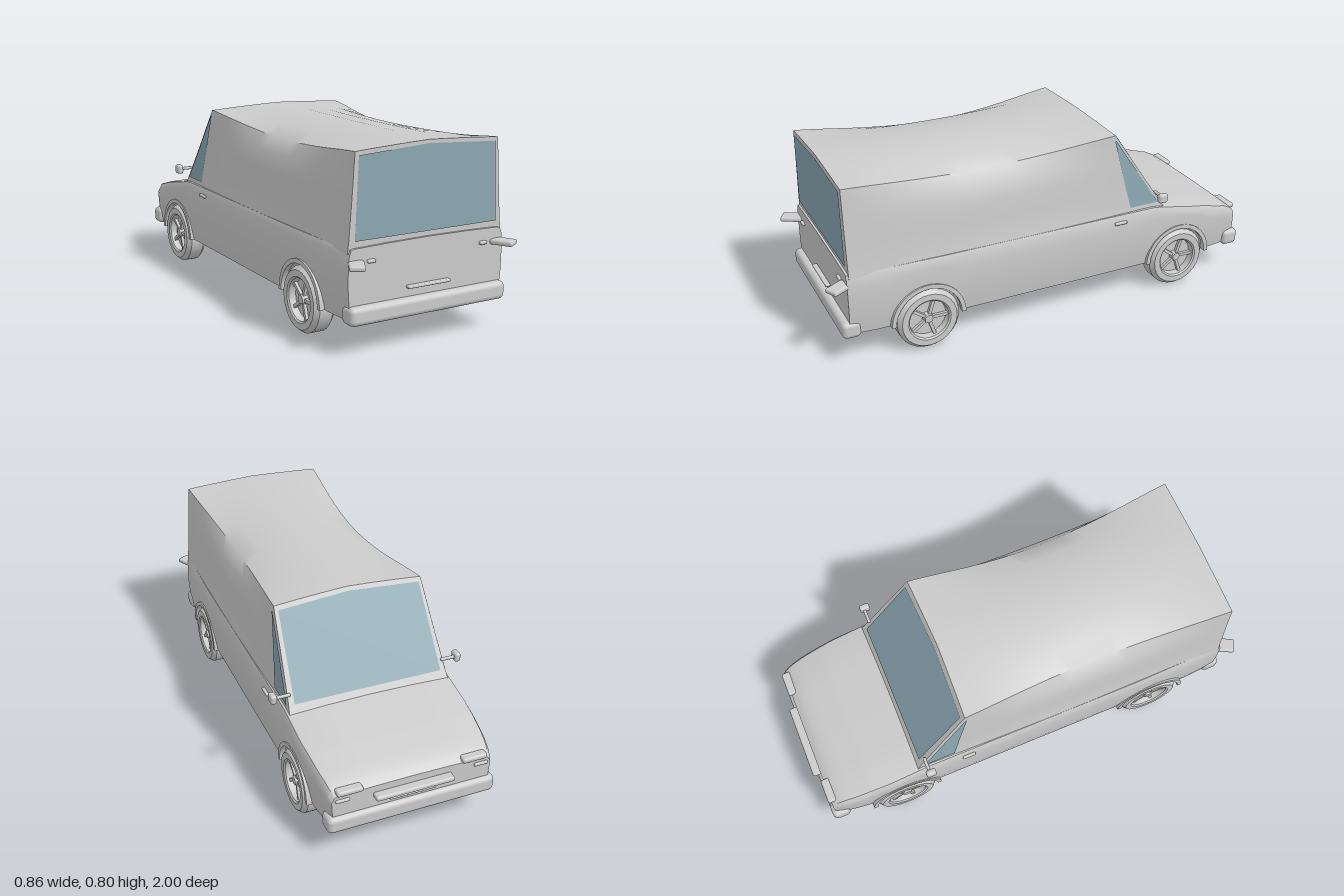
import * as THREE from 'three';
import { toCreasedNormals } from 'three/addons/utils/BufferGeometryUtils.js';
import { RoundedBoxGeometry } from 'three/addons/geometries/RoundedBoxGeometry.js';

const grey = new THREE.MeshStandardMaterial({ color: 0xcccccc });
const glass = new THREE.MeshStandardMaterial({ color: 0x8ca8b2, side: THREE.DoubleSide });
const FLOOR = 0.14, ARCH = 0.15, AXLES = [0.585, -0.635];

// piecewise linear lookup in [key, value] pairs with rising keys
function lookup(table, k) {
  if (k <= table[0][0]) return table[0][1];
  for (let i = 1; i < table.length; i++) {
    const [k0, v0] = table[i - 1], [k1, v1] = table[i];
    if (k <= k1) return v0 + (v1 - v0) * (k - k0) / (k1 - k0);
  }
  return table[table.length - 1][1];
}

function surface(points, index) {
  const g = new THREE.BufferGeometry();
  g.setAttribute('position', new THREE.Float32BufferAttribute(points.flat(), 3));
  g.setIndex(index);
  return toCreasedNormals(g, 0.6);
}

// closed loft through half sections (bottom centre to top centre), rear to nose
function loft(halves) {
  const rings = halves.map(h => [...h, ...h.slice(1, -1).reverse().map(([x, y, z]) => [-x, y, z])]);
  const n = rings[0].length, last = rings.length - 1, index = [];
  const points = rings.flat();
  for (let i = 0; i < last; i++) {
    for (let j = 0; j < n; j++) {
      const a = i * n + j, b = i * n + (j + 1) % n;
      index.push(a, a + n, b, b, a + n, b + n);
    }
  }
  for (const i of [0, last]) {
    const c = points.length;
    points.push([0, 1, 2].map(k => rings[i].reduce((s, p) => s + p[k], 0) / n));
    for (let j = 0; j < n; j++) {
      const a = i * n + j, b = i * n + (j + 1) % n;
      if (i === 0) index.push(c, a, b); else index.push(c, b, a);
    }
  }
  return surface(points, index);
}

// lower body: height and half width along z, with wheel arches cut in the sides
const TOP = [[-0.963, 0.295], [-0.94, 0.315], [-0.9, 0.335], [-0.77, 0.37], [-0.54, 0.415], [-0.5, 0.42]];
const WIDTH = [[-0.963, 0.345], [-0.93, 0.355], [-0.85, 0.368], [-0.7, 0.38], [0.5, 0.38], [0.8, 0.372], [0.92, 0.362]];

function lowerBody() {
  const stations = [0.92, 0.88, 0.8, 0.3, 0.15, 0, -0.2, -0.35, -0.82, -0.86, -0.9, -0.925, -0.94, -0.963];
  for (const c of AXLES) for (let i = 0; i <= 18; i++) stations.push(c + ARCH * Math.cos(Math.PI * i / 18));
  stations.sort((a, b) => b - a);
  return loft(stations.map(z => {
    const w = lookup(WIDTH, z), t = lookup(TOP, z);
    let b = FLOOR;
    for (const c of AXLES) b = Math.max(b, FLOOR + Math.sqrt(Math.max(0, ARCH ** 2 - (z - c) ** 2)));
    const half = [[0, FLOOR, z], [0.28, FLOOR, z], [0.28, b, z]];
    for (let i = 0; i <= 5; i++) {
      const y = b + (t - 0.025 - b) * i / 5;
      half.push([w * (1 - 1.4 * (y - 0.3) ** 2), y, z]);
    }
    half.push([w * 0.965, t - 0.004, z], [w * 0.93, t, z], [w * 0.5, t + 0.004, z], [0, t + 0.006, z]);
    return half;
  }));
}

// cabin: square-edged at both ends, softly rounded along the middle
const END = [[0, 0.40], [0.36, 0.40], [0.354, 0.45], [0.347, 0.54], [0.341, 0.62], [0.336, 0.70],
  [0.33, 0.783], [0.22, 0.79], [0.1, 0.796], [0, 0.80]];
const MID = [[0, 0.40], [0.37, 0.40], [0.358, 0.45], [0.35, 0.53], [0.342, 0.61], [0.328, 0.68],
  [0.29, 0.735], [0.21, 0.772], [0.1, 0.792], [0, 0.80]];
const screenZ = y => -0.30 - 0.25 * (0.80 - y) / 0.38;

function cabin() {
  const halves = [];
  for (let i = 0; i <= 24; i++) {
    const s = i / 24, e = Math.sin(Math.PI * s) ** 1.2;
    halves.push(END.map(([x, y], k) => {
      const px = x + (MID[k][0] - x) * e, py = y + (MID[k][1] - y) * e;
      return [px, py, 0.91 + (screenZ(py) - 0.91) * s];
    }));
  }
  return loft(halves);
}

// end window with a peaked top edge
function endWindow(zAt) {
  const outline = [[-0.33, 0.446], [0.33, 0.446], [0.316, 0.768], [0, 0.786], [-0.316, 0.768]];
  return surface(outline.map(([x, y]) => [x, y, zAt(y)]), [0, 1, 2, 0, 2, 3, 0, 3, 4]);
}

// triangular side window following the cabin side
function sideWindow(side) {
  const points = [], index = [], sideX = END.slice(1, 7).map(([x, y]) => [y, x]);
  for (let i = 0; i <= 8; i++) {
    const y = 0.438 + 0.322 * i / 8, x = side * (lookup(sideX, y) + 0.005);
    points.push([x, y, -0.383 + 0.078 * i / 8], [x, y, screenZ(y) + 0.014]);
    if (i) index.push(2 * i - 2, 2 * i - 1, 2 * i, 2 * i, 2 * i - 1, 2 * i + 1);
  }
  return surface(points, index);
}

function wheel() {
  const g = new THREE.Group();
  const add = (name, geo, y = 0) => {
    const m = new THREE.Mesh(geo, grey);
    m.name = name;
    m.position.y = y;
    g.add(m);
    return m;
  };
  const profile = [[0, -0.05], [0.118, -0.05], [0.138, -0.03], [0.138, 0.03], [0.122, 0.05], [0.095, 0.05],
    [0.088, 0.044], [0.084, 0.015], [0, 0.015]].map(p => new THREE.Vector2(...p));
  add('tyre', toCreasedNormals(new THREE.LatheGeometry(profile, 28), 0.5));
  add('hub', new THREE.CylinderGeometry(0.018, 0.024, 0.025, 16), 0.028);
  for (let i = 0; i < 5; i++) {
    const spoke = new THREE.BoxGeometry(0.07, 0.014, 0.014).translate(0.052, 0, 0);
    add('spoke', spoke, 0.026).rotation.y = i * Math.PI * 0.4 + Math.PI / 2;
  }
  g.rotation.z = -Math.PI / 2;
  return g;
}

export function createModel() {
  const model = new THREE.Group();
  model.name = 'van';
  const add = (name, geo, material = grey) => {
    const m = new THREE.Mesh(geo, material);
    m.name = name;
    model.add(m);
    return m;
  };
  const block = (name, size, pos, radius = Math.min(...size) * 0.4) => {
    const m = add(name, new RoundedBoxGeometry(...size, 3, radius));
    m.position.set(...pos);
    return m;
  };

  // shell and glazing
  add('lowerBody', lowerBody());
  add('cabin', cabin());
  add('rearWindow', endWindow(() => 0.914), glass);
  add('windscreen', endWindow(y => screenZ(y) - 0.005), glass);

  // bumpers, tailgate bar, grille strips
  block('rearBumper', [0.73, 0.075, 0.08], [0, 0.162, 0.912], 0.022);
  block('noseBumper', [0.73, 0.075, 0.08], [0, 0.162, -0.943], 0.022);
  block('tailgateBar', [0.2, 0.012, 0.03], [0, 0.24, 0.925]);
  block('grilleStrip', [0.34, 0.022, 0.05], [0, 0.257, -0.975]);
  block('lowerStrip', [0.2, 0.012, 0.02], [0, 0.222, -0.965]);

  for (const side of [1, -1]) {
    add('sideWindow', sideWindow(side), glass);
    // lamps
    block('rearLamp', [0.062, 0.022, 0.095], [side * 0.344, 0.365, 0.95]).rotation.y = side * 0.5;
    block('rearMarker', [0.035, 0.014, 0.02], [side * 0.263, 0.366, 0.922]);
    block('headlamp', [0.11, 0.024, 0.04], [side * 0.27, 0.308, -0.955]);
    block('noseMarker', [0.06, 0.014, 0.03], [side * 0.3, 0.272, -0.957]);
    // mirror and door handle
    block('mirror', [0.028, 0.042, 0.045], [side * 0.415, 0.483, -0.512], 0.011);
    block('mirrorArm', [0.07, 0.014, 0.014], [side * 0.375, 0.483, -0.516]);
    block('doorHandle', [0.014, 0.014, 0.06], [side * 0.382, 0.385, -0.325]);

    for (const z of AXLES) {
      const w = new THREE.Group();
      w.name = 'wheel';
      w.add(wheel());
      w.position.set(side * 0.335, 0.138, z);
      if (side < 0) w.rotation.y = Math.PI;
      model.add(w);
      // arch lip
      const lip = new THREE.Shape();
      lip.absarc(0, 0, 0.165, 0, Math.PI, false);
      lip.absarc(0, 0, 0.146, Math.PI, 0, true);
      const arch = add('archLip', new THREE.ExtrudeGeometry(lip, { depth: 0.024, bevelEnabled: false, curveSegments: 20 }));
      arch.rotation.y = Math.PI / 2;
      arch.position.set(side > 0 ? 0.36 : -0.384, FLOOR, z);
    }
  }

  // axles
  for (const z of AXLES) {
    const axle = add('axle', new THREE.CylinderGeometry(0.015, 0.015, 0.6, 12));
    axle.rotation.z = Math.PI / 2;
    axle.position.set(0, 0.138, z);
  }
  return model;
}
